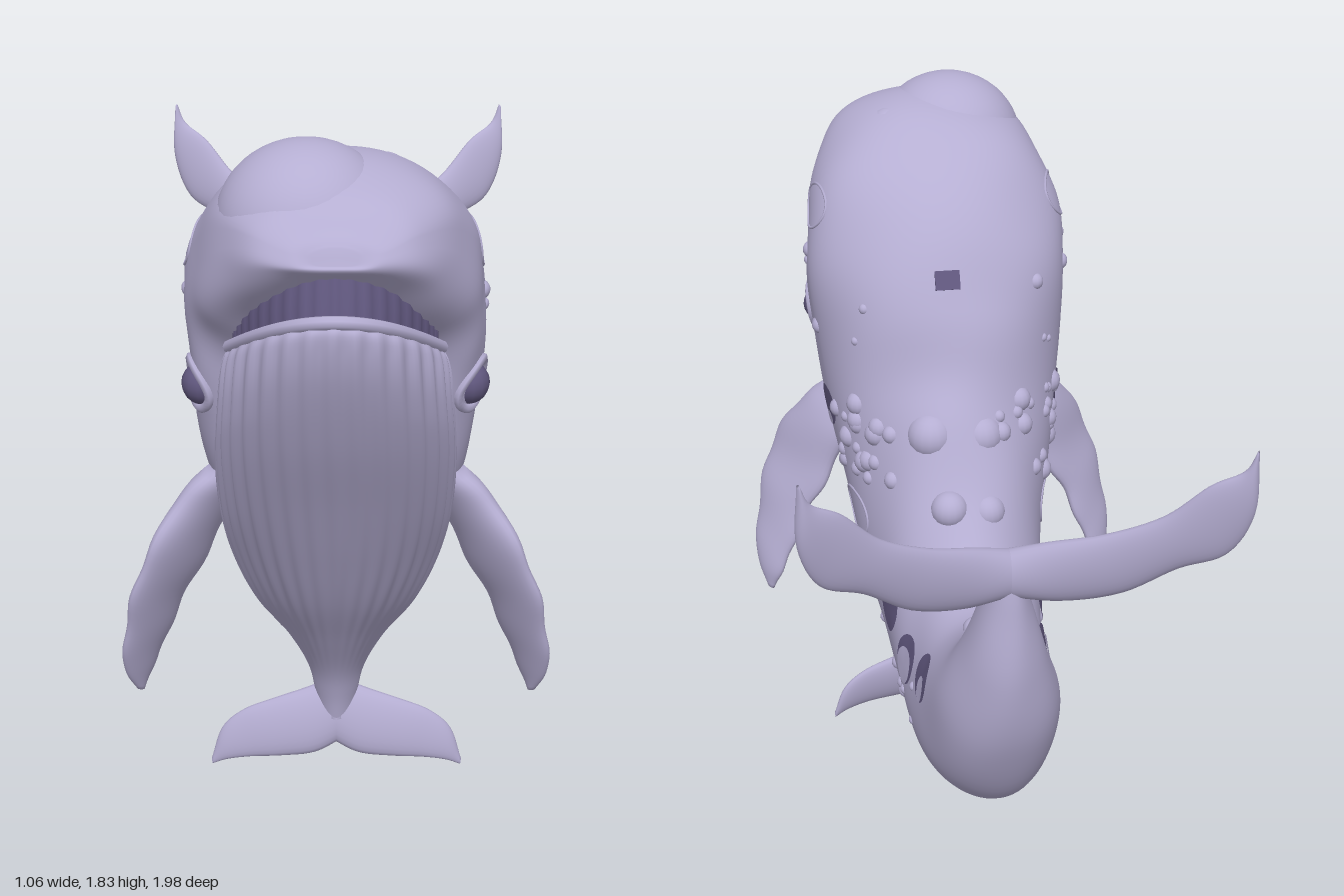
import * as THREE from 'three';

const V3 = (x, y, z) => new THREE.Vector3(x, y, z);
const skin = new THREE.MeshStandardMaterial({ color: 0xb5aed2 });
skin.name = 'lavenderSkin';
const dark = new THREE.MeshStandardMaterial({ color: 0x61587f, side: THREE.DoubleSide });
dark.name = 'darkPurple';

const spow = (v, e) => Math.sign(v) * Math.abs(v) ** e;
const clamp01 = v => Math.min(1, Math.max(0, v));

// Smooth closed loft; each row is [centre, axisA, axisB].
// ripple scales the radius, front and back are the superellipse powers of each half.
function loft(rows, steps, n, { ripple = () => 1, front = () => 1, back = () => 1 } = {}) {
  const curves = [0, 1, 2].map(k => new THREE.CatmullRomCurve3(rows.map(r => r[k]), false, 'catmullrom', 0.5));
  const pos = [], idx = [];
  for (let i = 0; i <= steps; i++) {
    const t = i / steps;
    const [c, a, b] = curves.map(k => k.getPoint(t));
    for (let j = 0; j < n; j++) {
      const th = (j / n) * Math.PI * 2, r = ripple(th, t), cs = Math.cos(th), sn = Math.sin(th);
      const e = cs > 0 ? front(t) : back(t);
      pos.push(...c.clone().addScaledVector(a, spow(cs, e) * r).addScaledVector(b, spow(sn, Math.min(e, 1)) * r).toArray());
    }
  }
  for (let i = 0; i < steps; i++) for (let j = 0; j < n; j++) {
    const a = i * n + j, b = i * n + (j + 1) % n;
    idx.push(a, b, a + n, b, b + n, a + n);
  }
  // end caps
  const last = steps * n, c0 = pos.length / 3;
  pos.push(...curves[0].getPoint(0).toArray(), ...curves[0].getPoint(1).toArray());
  for (let j = 0; j < n; j++) {
    const k = (j + 1) % n;
    idx.push(c0, k, j, c0 + 1, last + j, last + k);
  }
  // turn faces outward using the signed volume
  let vol = 0;
  const p = i => V3(pos[i * 3], pos[i * 3 + 1], pos[i * 3 + 2]);
  for (let i = 0; i < idx.length; i += 3) vol += p(idx[i]).dot(p(idx[i + 1]).cross(p(idx[i + 2])));
  if (vol < 0) idx.reverse();
  const g = new THREE.BufferGeometry();
  g.setAttribute('position', new THREE.Float32BufferAttribute(pos, 3));
  g.setIndex(idx);
  g.computeVertexNormals();
  return g;
}

// Row from two (z, y) outline points and a half width
const section = ([z1, y1, z2, y2, w]) =>
  [V3(0, (y1 + y2) / 2, (z1 + z2) / 2), V3(0, (y1 - y2) / 2, (z1 - z2) / 2), V3(w, 0, 0)];

// Fin rows from [x, y, z, halfChord, halfThickness], with chord and thickness directions
const finRows = (pts, chord, thick, s) => pts.map(([x, y, z, h, t]) => [
  V3(x * s, y, z),
  V3(chord[0] * s, chord[1], chord[2]).normalize().multiplyScalar(h),
  V3(thick[0] * s, thick[1], thick[2]).normalize().multiplyScalar(t)]);

export function createModel() {
  const model = new THREE.Group();
  model.name = 'whale';
  const add = (name, geo, mat = skin) => {
    const m = new THREE.Mesh(geo, mat);
    m.name = name;
    model.add(m);
    return m;
  };

  // Curved body: back point z, y, belly point z, y, half width; the head is squared off below
  const body = add('body', loft([
    [-0.70, 1.13, -0.755, 1.11, 0.03], [-0.635, 1.03, -0.77, 1.0, 0.055], [-0.58, 0.9, -0.78, 0.8, 0.10],
    [-0.5, 0.8, -0.73, 0.57, 0.15], [-0.38, 0.75, -0.58, 0.33, 0.175], [-0.25, 0.755, -0.35, 0.22, 0.19],
    [-0.17, 0.8, -0.1, 0.225, 0.20], [-0.09, 0.91, 0.1, 0.28, 0.22], [0.0, 1.07, 0.32, 0.38, 0.255],
    [0.07, 1.2, 0.5, 0.65, 0.295], [0.12, 1.36, 0.62, 0.95, 0.33], [0.2, 1.52, 0.65, 1.21, 0.348],
    [0.33, 1.67, 0.68, 1.33, 0.342], [0.48, 1.765, 0.75, 1.42, 0.31], [0.65, 1.795, 0.83, 1.515, 0.255],
    [0.8, 1.755, 0.9, 1.59, 0.18], [0.885, 1.69, 0.93, 1.62, 0.105], [0.91, 1.665, 0.925, 1.63, 0.05],
  ].map(section), 110, 72, {
    ripple: (th, t) => 1 + 0.008 * Math.sin(5 * th + 40 * t) + 0.006 * Math.sin(3 * th - 63 * t),
    back: t => 1 - 0.5 * clamp01((t - 0.48) / 0.16),
  }));

  // Pleated lower jaw and throat running down to the small tail
  const pointed = { front: t => 2 - 0.6 * clamp01(t * 4) };
  const throat = add('throat', loft([
    [0.975, 1.525, 0.51, 1.24, 0.235], [0.99, 1.49, 0.5, 1.2, 0.25], [0.965, 1.38, 0.48, 1.1, 0.262],
    [0.885, 1.2, 0.41, 0.94, 0.275], [0.775, 1.0, 0.32, 0.75, 0.27], [0.67, 0.81, 0.22, 0.6, 0.245],
    [0.57, 0.64, 0.15, 0.45, 0.195], [0.46, 0.48, 0.14, 0.36, 0.125], [0.37, 0.34, 0.17, 0.28, 0.075],
    [0.33, 0.24, 0.21, 0.21, 0.055], [0.305, 0.13, 0.255, 0.12, 0.035],
  ].map(section), 70, 192, {
    ripple: (th, t) => 1 + 0.02 * Math.cos(32 * th + 0.8 * Math.sin(9 * t)) * clamp01(t * 8) * clamp01((0.8 - t) * 4),
    ...pointed,
  }));

  // Slatted mouth lining between the jaws
  add('mouthLining', loft([
    [0.95, 1.47, 0.5, 1.2, 0.222], [0.925, 1.55, 0.5, 1.31, 0.226], [0.895, 1.63, 0.5, 1.42, 0.215],
  ].map(section), 6, 160, { ripple: th => 1 + 0.012 * Math.cos(40 * th), front: () => 1.9 }), dark);

  // Rounded lip along the lower jaw
  const lip = [];
  for (let i = 0; i <= 24; i++) {
    const a = (i / 24 - 0.5) * Math.PI, c = Math.cos(a) ** 2;
    lip.push(V3(0.235 * Math.sin(a), 1.383 + 0.142 * c, 0.743 + 0.234 * c));
  }
  add('lowerLip', new THREE.TubeGeometry(new THREE.CatmullRomCurve3(lip), 60, 0.015, 8));

  // Off-centre dome on the head, with a small knob beside it
  const dome = add('headDome', new THREE.SphereGeometry(0.2, 40, 28));
  dome.scale.y = 0.92;
  dome.position.set(-0.065, 1.646, 0.66);
  add('headKnob', new THREE.SphereGeometry(0.055, 16, 12)).position.set(0.11, 1.72, 0.56);

  for (const s of [1, -1]) {
    const side = s > 0 ? 'left' : 'right';
    add(side + 'Flipper', loft(finRows([
      [0.25, 0.97, 0.49, 0.08, 0.05], [0.32, 0.89, 0.50, 0.1, 0.045], [0.38, 0.77, 0.52, 0.115, 0.035],
      [0.435, 0.65, 0.52, 0.1, 0.03], [0.47, 0.53, 0.505, 0.08, 0.025], [0.495, 0.43, 0.49, 0.055, 0.02],
      [0.495, 0.355, 0.475, 0.012, 0.008]], [0.55, 0.25, 0.75], [0.8, 0.15, -0.6], s), 36, 28,
      { ripple: (th, t) => 1 + 0.05 * Math.sin(28 * t) * Math.sin(th + 1) }));
    add(side + 'Fluke', loft(finRows([
      [-0.01, 1.09, -0.72, 0.06, 0.045], [0.1, 1.115, -0.77, 0.08, 0.036], [0.22, 1.165, -0.835, 0.08, 0.028],
      [0.33, 1.245, -0.895, 0.07, 0.024], [0.42, 1.32, -0.94, 0.09, 0.022], [0.475, 1.4, -0.97, 0.055, 0.018],
      [0.485, 1.5, -0.98, 0.006, 0.006]], [-0.3, 1, 0], [0.45, 0.15, 0.88], s), 36, 28));
    add(side + 'SmallFluke', loft(finRows([
      [-0.01, 0.18, 0.275, 0.085, 0.035], [0.07, 0.145, 0.285, 0.09, 0.03], [0.16, 0.122, 0.285, 0.08, 0.024],
      [0.24, 0.1, 0.28, 0.066, 0.018], [0.3, 0.065, 0.275, 0.045, 0.014], [0.335, 0.01, 0.275, 0.008, 0.006]],
      [0.15, 1, -0.25], [0, 0.25, 1], s), 30, 24));
  }

  // Finds the skin at a given z, y on one side
  model.updateMatrixWorld(true);
  const ray = new THREE.Raycaster();
  const hitSkin = (z, y, s) => {
    ray.set(V3(2 * s, y, z), V3(-s, 0, 0));
    return ray.intersectObjects([body, throat])[0];
  };
  // Flat patch and raised rim that follow the skin
  const patch = (name, z, y, rz, ry, s, mat, lift) => {
    const g = new THREE.CircleGeometry(1, 28), p = g.attributes.position;
    for (let i = 0; i < p.count; i++) {
      const pz = z + p.getX(i) * rz, py = y + p.getY(i) * ry, h = hitSkin(pz, py, s);
      p.setXYZ(i, (h ? h.point.x : 0) + lift * s, py, pz);
    }
    if (s > 0) g.setIndex(Array.from(g.index.array).reverse());
    g.computeVertexNormals();
    add(name, g, mat);
  };
  const rim = (name, z, y, rz, ry, s, r) => {
    const pts = [];
    for (let i = 0; i < 20; i++) {
      const a = (i / 20) * Math.PI * 2, pz = z + rz * Math.cos(a), py = y + ry * Math.sin(a), h = hitSkin(pz, py, s);
      if (h) pts.push(h.point);
    }
    add(name, new THREE.TubeGeometry(new THREE.CatmullRomCurve3(pts, true), 40, r, 6, true));
  };
  const bump = (name, z, y, r, s, sink = 0.5, mat = skin) => {
    const h = hitSkin(z, y, s);
    if (!h) return;
    const m = add(name, new THREE.SphereGeometry(r, 14, 10), mat);
    m.position.copy(h.point).addScaledVector(h.face.normal, -r * sink);
  };

  let seed = 7;
  const rand = () => (seed = (seed * 16807) % 2147483647) / 2147483647;
  for (const s of [1, -1]) {
    // Eyes with lids
    bump('eye', 0.56, 1.22, 0.052, s, 0.4, dark);
    rim('eyelid', 0.56, 1.225, 0.056, 0.06, s, 0.012);
    // Dark pits along the flank, some with a pale floor
    for (const [z, y, rz, ry] of [[0.33, 1.02, 0.065, 0.055], [0.02, 0.645, 0.045, 0.045], [-0.085, 0.605, 0.062, 0.06],
      [-0.27, 0.565, 0.07, 0.062], [-0.44, 0.62, 0.066, 0.058]]) patch('pit', z, y, rz, ry, s, dark, 0.005);
    patch('pitFloor', -0.275, 0.552, 0.056, 0.044, s, skin, 0.009);
    patch('pitFloor', -0.465, 0.605, 0.03, 0.034, s, skin, 0.009);
    patch('pitFloor', 0.31, 0.99, 0.028, 0.018, s, skin, 0.009);
    // Pale oval scars
    rim('scar', 0.47, 1.545, 0.08, 0.055, s, 0.004);
    rim('scar', 0.18, 0.765, 0.088, 0.062, s, 0.004);
    // Barnacles: a cluster behind the flipper, then a loose scatter
    for (let i = 0; i < 20; i++) bump('barnacle', 0.02 + rand() * 0.28, 0.86 + rand() * 0.25, 0.016 + rand() * 0.02, s);
    for (let i = 0; i < 10; i++) bump('barnacle', -0.4 + rand() * 0.55, 0.36 + rand() * 0.18, 0.012 + rand() * 0.012, s);
    for (let i = 0; i < 6; i++) bump('barnacle', 0.2 + rand() * 0.3, 1.2 + rand() * 0.25, 0.012 + rand() * 0.014, s);
  }

  // Small dark slot on the nape
  ray.set(V3(0.01, 1.44, -1), V3(0, 0, 1));
  const slot = add('napeSlot', new THREE.BoxGeometry(0.065, 0.05, 0.009), dark);
  slot.position.copy(ray.intersectObject(body)[0].point);
  slot.rotation.x = 0.47;

  // Lumps along the back
  for (const [x, y, z, r] of [[0.07, 1.05, 0.05, 0.065], [-0.06, 1.04, 0.05, 0.06], [0.04, 0.89, -0.07, 0.05],
    [-0.06, 0.87, -0.06, 0.05], [0, 0.775, -0.455, 0.03], [0.03, 0.75, -0.43, 0.03]]) {
    add('backLump', new THREE.SphereGeometry(r, 18, 14)).position.set(x, y, z);
  }
  add('backFin', new THREE.ConeGeometry(0.035, 0.1, 14)).position.set(0, 0.785, -0.46);
  return model;
}
